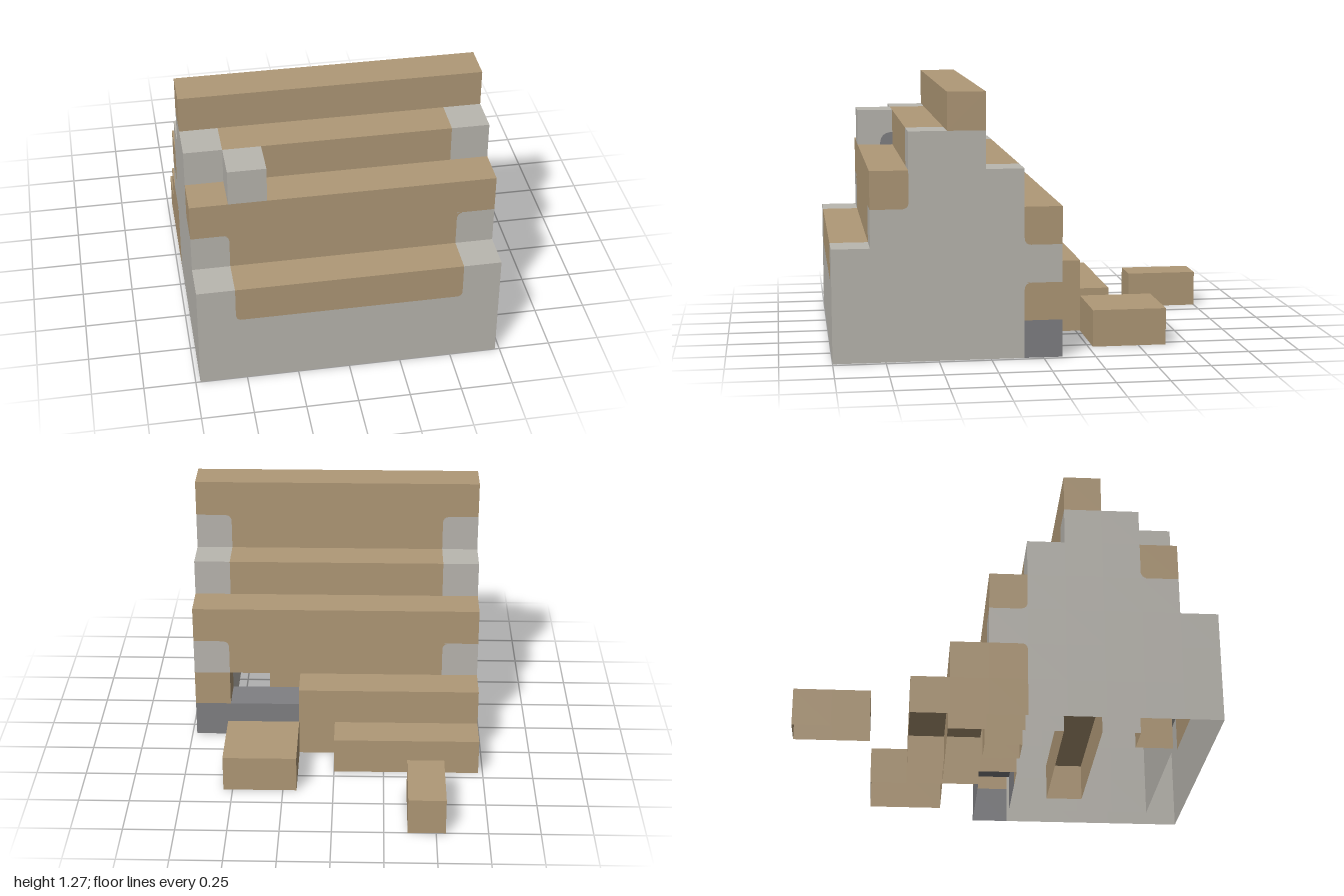
import * as THREE from 'three';

const U = 2 / 11; // one building block

const material = (name, color) => {
  const m = new THREE.MeshStandardMaterial({ color, side: THREE.DoubleSide });
  m.name = name;
  return m;
};

// Grid to model space: x from the right side, y up, z back from the front
const place = (x, y, z) => [(x - 4) * U, y * U, 1 - z * U];

export function createModel() {
  const plaster = material('pale plaster', 0xbab7b0);
  const wood = material('tan wood', 0xb09977);
  const stone = material('dark stone', 0x808083);
  const house = new THREE.Group();
  house.name = 'steppedHouse';
  const parts = [];
  const filled = new Set();

  // Reserve a run of blocks for a part
  function block(name, mat, [x0, x1], [y0, y1], [z0, z1]) {
    const cells = [];
    for (let x = x0; x < x1; x++)
      for (let y = y0; y < y1; y++)
        for (let z = z0; z < z1; z++) {
          cells.push([x, y, z]);
          filled.add([x, y, z].join());
        }
    parts.push({ name, mat, cells });
  }

  // Outer skin of a part: only faces with no neighbour, open towards the ground
  function skin({ name, mat, cells }) {
    const positions = [];
    for (const cell of cells)
      for (let axis = 0; axis < 3; axis++)
        for (const dir of [-1, 1]) {
          const next = [...cell];
          next[axis] += dir;
          if (next[1] < 0 || filled.has(next.join())) continue;
          const corner = (a, b) => {
            const p = [...cell];
            p[axis] += dir > 0 ? 1 : 0;
            p[(axis + 1) % 3] += a;
            p[(axis + 2) % 3] += b;
            return place(...p);
          };
          const [a, b, c, d] = [corner(0, 0), corner(1, 0), corner(1, 1), corner(0, 1)];
          // grid z runs backwards, so the winding is mirrored
          positions.push(...(dir < 0 ? [a, b, c, a, c, d] : [a, c, b, a, d, c]).flat());
        }
    const geo = new THREE.BufferGeometry();
    geo.setAttribute('position', new THREE.Float32BufferAttribute(positions, 3));
    geo.computeVertexNormals();
    const mesh = new THREE.Mesh(geo, mat);
    mesh.name = name;
    house.add(mesh);
  }

  // Painted corner on a wall at a grid point; it spreads along the wall by dx, dy.
  // bulge 0 rounds off the patch beneath it, bulge 1 makes a quarter disc.
  function paint(name, mat, point, turn, dx, dy, bulge = 0) {
    const shape = new THREE.Shape();
    shape.moveTo(0, 0);
    shape.lineTo(dx, 0);
    shape.quadraticCurveTo(dx * bulge, dy * bulge, 0, dy);
    const mesh = new THREE.Mesh(new THREE.ShapeGeometry(shape, 6), mat);
    mesh.rotation.y = turn;
    mesh.position.set(...place(...point));
    mesh.translateZ(0.002);
    mesh.name = name;
    house.add(mesh);
  }

  // Gable walls, one column per depth step, the same on both sides
  const columns = [[0, 3], [0, 4], [0, 6], [0, 6], [0, 5], [2, 3]];
  for (const side of [[0, 1], [7, 8]]) {
    columns.forEach((height, z) => block('gableWall', plaster, side, height, [z, z + 1]));
  }

  // Front wall
  block('frontWall', plaster, [1, 7], [0, 2], [0, 1]);

  // Roof steps between the gables
  const steps = [[2, 3], [3, 4], [5, 6], [5, 6], [4, 5], [2, 3]];
  steps.forEach((height, z) => block('roofStep', wood, [1, 7], height, [z, z + 1]));

  // Roof beams running the full width
  for (const [y, z] of [[4, 1], [6, 3], [3, 5]]) {
    block('roofBeam', wood, [0, 8], [y, y + 1], [z, z + 1]);
  }

  // Chimney, above the roof and inside the house
  block('chimneyTop', plaster, [1, 2], [5, 6], [1, 2]);
  block('chimneyBase', wood, [1, 2], [0, 3], [1, 2]);

  // Back wall with its openings
  block('backSill', stone, [5, 8], [0, 1], [5, 6]);
  block('backPostLeft', wood, [7, 8], [1, 2], [5, 6]);
  block('backPostMiddle', wood, [4, 5], [0, 2], [5, 6]);
  block('backStub', wood, [2, 3], [0, 1], [5, 6]);
  block('backPostRight', wood, [0, 1], [0, 2], [5, 6]);

  // Low stepped lean-to behind
  block('leanToUpperStep', wood, [0, 5], [1, 2], [6, 7]);
  block('leanToPostRight', wood, [0, 1], [0, 1], [6, 7]);
  block('leanToPostLeft', wood, [4, 5], [0, 1], [6, 7]);
  block('leanToLowerStep', wood, [0, 4], [0, 1], [7, 8]);

  // Floor beam
  block('floorBeam', wood, [1, 6], [0, 1], [3, 4]);

  // Loose blocks on the ground
  block('fallenSlab', wood, [5, 7], [0, 1], [7, 9]);
  block('fallenBeam', wood, [1, 2], [0, 1], [9, 11]);

  parts.forEach(skin);

  // Soot on the chimney side
  paint('chimneySoot', stone, [2, 5, 2], Math.PI / 2, -0.065, 0.065, 1);

  // Rounded corners where wood meets plaster, mirrored left to right
  const R = 0.035;
  for (const s of [-1, 1]) {
    const inner = 4 + 3 * s;
    const outer = 4 + 4 * s;
    const out = (s * Math.PI) / 2;
    paint('frontPatchCorner', plaster, [inner, 2, 0], 0, -s * R, R);
    paint('frontStepCorner', wood, [inner, 4, 1], 0, s * R, -R);
    paint('ridgeCorner', wood, [inner, 6, 4], Math.PI, -s * R, -R);
    paint('backStepCorner', wood, [inner, 3, 6], Math.PI, -s * R, -R);
    paint('gableFrontCorner', plaster, [outer, 4, 2], out, -s * R, R);
    paint('gableBackCorner', plaster, [outer, 3, 5], out, s * R, R);
    paint('gableLowCorner', plaster, [outer, 2, 5], out, s * R, -R);
  }

  return house;
}
